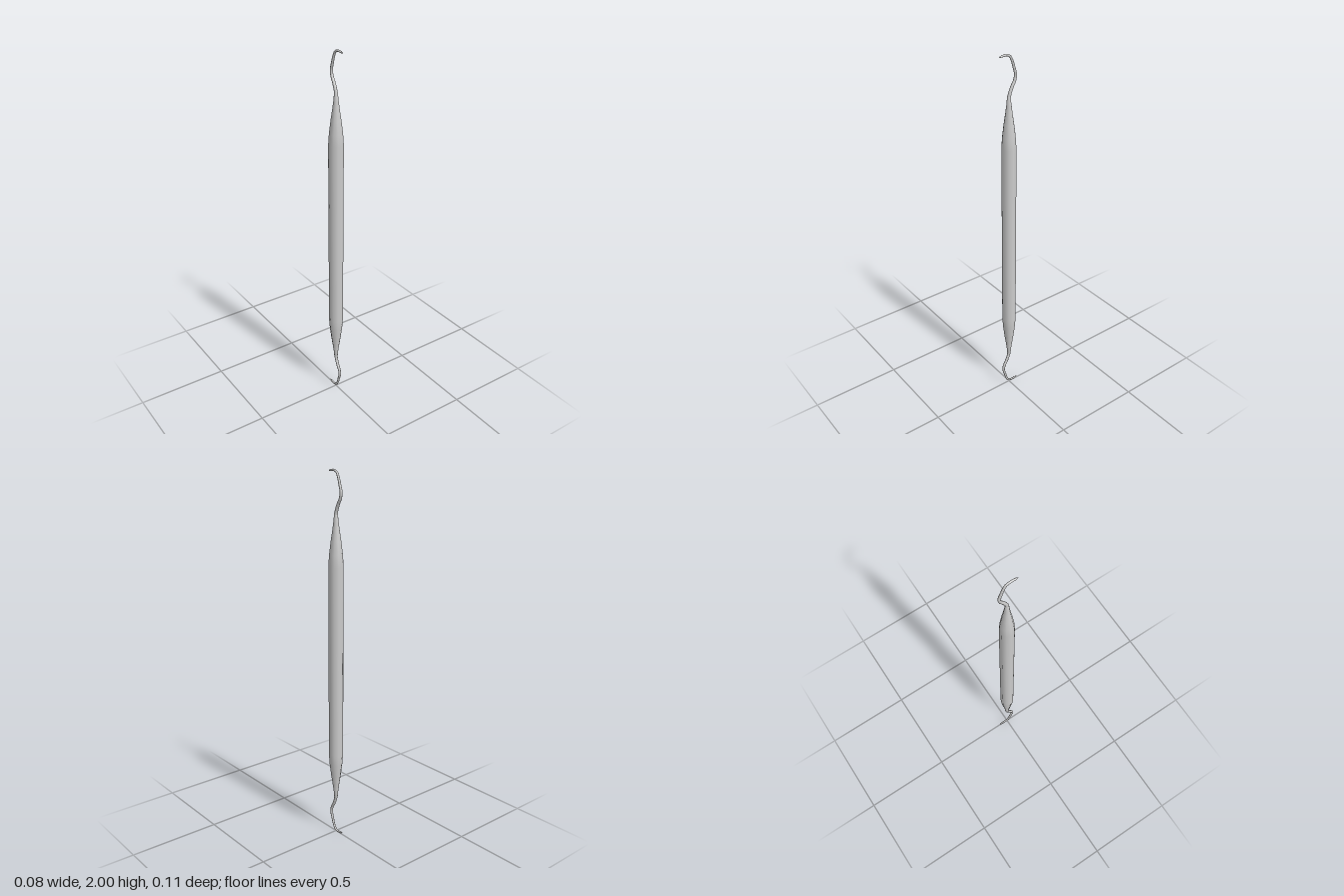
import * as THREE from 'three';

const material = new THREE.MeshStandardMaterial({ color: 0xcccccc });

// Ten-sided grip, tapering to a slim neck at both ends
function makeHandle() {
  const half = [[0.039, 0.52], [0.035, 0.58], [0.0265, 0.65], [0.019, 0.7], [0.0125, 0.75], [0.009, 0.79], [0, 0.8]];
  const profile = [
    ...half.slice().reverse().map(([r, y]) => new THREE.Vector2(r, 1 - y)),
    ...half.map(([r, y]) => new THREE.Vector2(r, 1 + y)),
  ];
  const mesh = new THREE.Mesh(new THREE.LatheGeometry(profile, 10, Math.PI / 2), material);
  mesh.name = 'handle';
  return mesh;
}

// Bent working end: a tube whose rings shrink towards the tip
function makeHook() {
  const path = new THREE.CatmullRomCurve3([
    [1.75, 0], [1.795, -0.003], [1.835, -0.019], [1.86, -0.033], [1.89, -0.039],
    [1.925, -0.03], [1.965, -0.017], [1.985, -0.005], [1.993, 0.013], [1.993, 0.035], [1.989, 0.057],
  ].map(([y, z]) => new THREE.Vector3(0, y, z)));
  const rings = 40, sides = 10;
  const geometry = new THREE.TubeGeometry(path, rings, 1, sides);
  const pos = geometry.attributes.position;
  const v = new THREE.Vector3();
  for (let i = 0; i <= rings; i++) {
    const t = i / rings;
    const centre = path.getPointAt(t);
    const radius = i === rings ? 0 : i === rings - 1 ? 0.0035 : 0.0095 - 0.0045 * t;
    for (let j = 0; j <= sides; j++) {
      const k = i * (sides + 1) + j;
      v.fromBufferAttribute(pos, k).sub(centre).multiplyScalar(radius).add(centre);
      pos.setXYZ(k, v.x, v.y, v.z);
    }
  }
  return new THREE.Mesh(geometry, material);
}

export function createModel() {
  const group = new THREE.Group();
  group.name = 'doubleEndedHookTool';
  group.add(makeHandle());

  const upper = makeHook();
  upper.name = 'upperHook';
  group.add(upper);

  // The lower hook is the upper one turned half a revolution about the middle
  const lower = makeHook();
  lower.name = 'lowerHook';
  lower.rotation.x = Math.PI;
  lower.position.y = 2;
  group.add(lower);
  return group;
}
